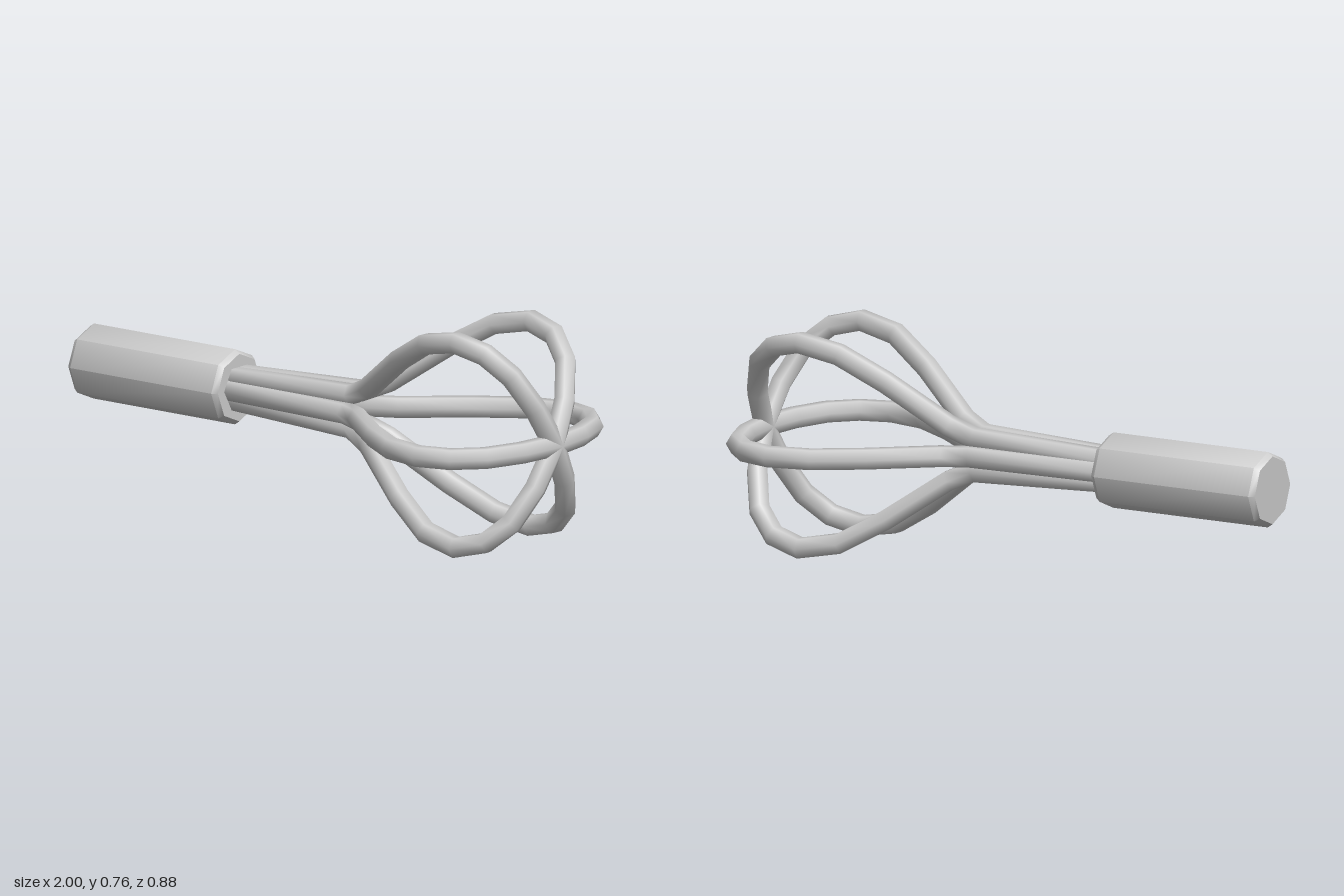
import * as THREE from 'three';
import { toCreasedNormals } from 'three/addons/utils/BufferGeometryUtils.js';

const material = new THREE.MeshStandardMaterial({ color: 0xcccccc });
const SIDES = 6, WIRE = 0.038;

// Half of a wire loop, from inside the handle to the tip: [x, distance from axis]
const half = [
  [-0.4, 0.042], [0.13, 0.066], [0.215, 0.108], [0.41, 0.27], [0.56, 0.37], [0.7, 0.402],
  [0.81, 0.37], [0.89, 0.288], [0.938, 0.155], [0.957, 0],
];

// Faceted tube along a flat path in the xz plane, one corner pointing outward
function wireLoop() {
  const path = [...half, ...half.slice(0, -1).reverse().map(([x, r]) => [x, -r])];
  const points = path.map(([x, z]) => new THREE.Vector2(x, z));
  const position = [], index = [];
  points.forEach((p, i) => {
    const before = p.clone().sub(points[Math.max(i - 1, 0)]).normalize();
    const after = points[Math.min(i + 1, points.length - 1)].clone().sub(p).normalize();
    const t = before.add(after).normalize();
    for (let j = 0; j < SIDES; j++) {
      const a = (j / SIDES) * Math.PI * 2;
      const out = Math.cos(a) * WIRE;
      position.push(p.x - t.y * out, Math.sin(a) * WIRE, p.y + t.x * out);
      if (i === 0) continue;
      const k = (j + 1) % SIDES, c = i * SIDES, b = c - SIDES;
      index.push(b + j, c + j, b + k, b + k, c + j, c + k);
    }
  });
  const geometry = new THREE.BufferGeometry();
  geometry.setAttribute('position', new THREE.Float32BufferAttribute(position, 3));
  geometry.setIndex(index);
  geometry.computeVertexNormals();
  return geometry;
}

export function createModel() {
  const group = new THREE.Group();
  group.name = 'whisk';

  // Eight-sided handle with bevelled ends
  const profile = [[0, -1], [0.115, -1], [0.128, -0.982], [0.128, -0.388], [0.115, -0.37], [0, -0.37]]
    .map(([r, y]) => new THREE.Vector2(r, y));
  const handleGeometry = toCreasedNormals(new THREE.LatheGeometry(profile, 8), 0.8);
  const handle = new THREE.Mesh(handleGeometry, material);
  handle.name = 'handle';
  handle.rotation.z = -Math.PI / 2;
  group.add(handle);

  // Three wire loops crossing at the tip
  const loopGeometry = wireLoop();
  for (let i = 0; i < 3; i++) {
    const loop = new THREE.Mesh(loopGeometry, material);
    loop.name = `wireLoop${i + 1}`;
    loop.rotation.x = (i * Math.PI) / 3;
    group.add(loop);
  }

  group.position.y = 0.381;
  return group;
}
